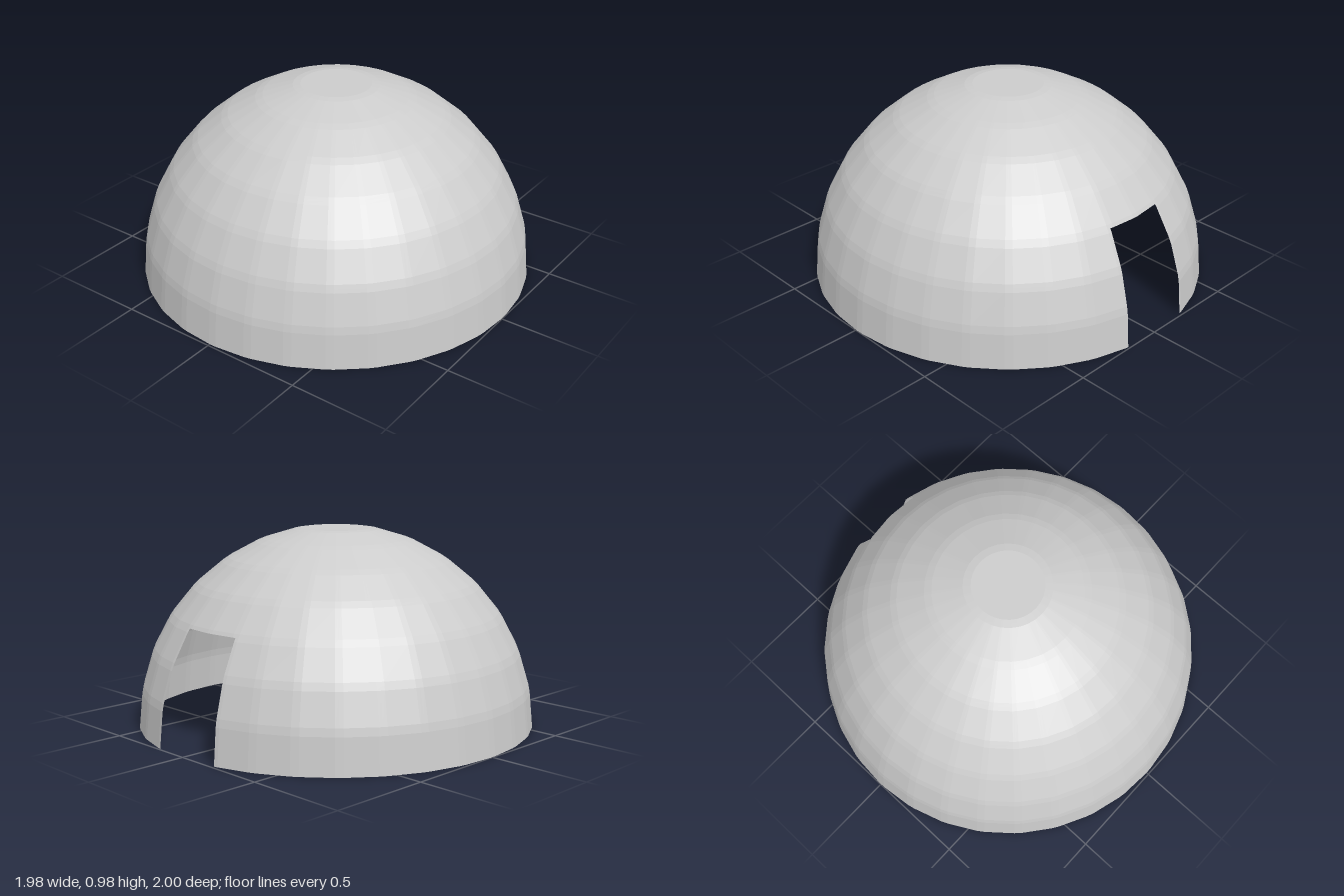
import * as THREE from 'three';

const SIDES = 32, RINGS = 7, BEVEL = 0.1;
const STEP = Math.PI * 2 / SIDES;

// Splits every corner of a polyline into bevel start, bevel middle, bevel end.
// Each entry keeps t, its position measured in original corners.
function bevelCorners(corners, closed) {
  const n = corners.length, out = [];
  corners.forEach((p, k) => {
    if (!closed && (k === 0 || k === n - 1)) return out.push({ t: k, p });
    const a = p.clone().lerp(corners[(k + n - 1) % n], BEVEL);
    const b = p.clone().lerp(corners[(k + 1) % n], BEVEL);
    out.push({ t: k - BEVEL, p: a }, { t: k, p: a.clone().lerp(b, 0.5) }, { t: k + BEVEL, p: b });
  });
  return out;
}

function domeGeometry() {
  // Profile (radius, height) from the rim up to the flat crown
  const profile = [];
  for (let k = 0; k <= RINGS; k++) {
    profile.push(new THREE.Vector2(Math.cos(k * STEP), Math.sin(k * STEP)));
  }
  profile.push(new THREE.Vector2(0, profile[RINGS].y));
  // Plan polygon
  const plan = [];
  for (let k = 0; k < SIDES; k++) {
    plan.push(new THREE.Vector2(Math.cos(k * STEP), -Math.sin(k * STEP)));
  }
  const rows = bevelCorners(profile, false), cols = bevelCorners(plan, true);
  const positions = [], indices = [], n = cols.length;
  for (const row of rows) {
    for (const col of cols) positions.push(col.p.x * row.p.x, row.p.y, col.p.y * row.p.x);
  }
  for (let j = 0; j < rows.length - 1; j++) {
    for (let i = 0; i < n; i++) {
      // Doorway: two panels wide and three panels high, on the +x side
      const mid = cols[i].t + 0.01;
      if ((mid < 1 || mid > SIDES - 1) && rows[j].t < 3) continue;
      const a = j * n + i, b = j * n + (i + 1) % n;
      indices.push(a, b, b + n);
      if (j < rows.length - 2) indices.push(a, b + n, a + n);
    }
  }
  const geometry = new THREE.BufferGeometry();
  geometry.setAttribute('position', new THREE.Float32BufferAttribute(positions, 3));
  geometry.setIndex(indices);
  geometry.computeVertexNormals();
  return geometry;
}

export function createModel() {
  const group = new THREE.Group();
  const material = new THREE.MeshStandardMaterial({
    color: 0xcccccc, flatShading: true, side: THREE.DoubleSide,
  });
  // Thin panelled dome, turned very slightly
  const dome = new THREE.Mesh(domeGeometry(), material);
  dome.name = 'domeShell';
  dome.rotation.y = 0.015;
  dome.position.x = 0.01;
  group.add(dome);
  return group;
}
